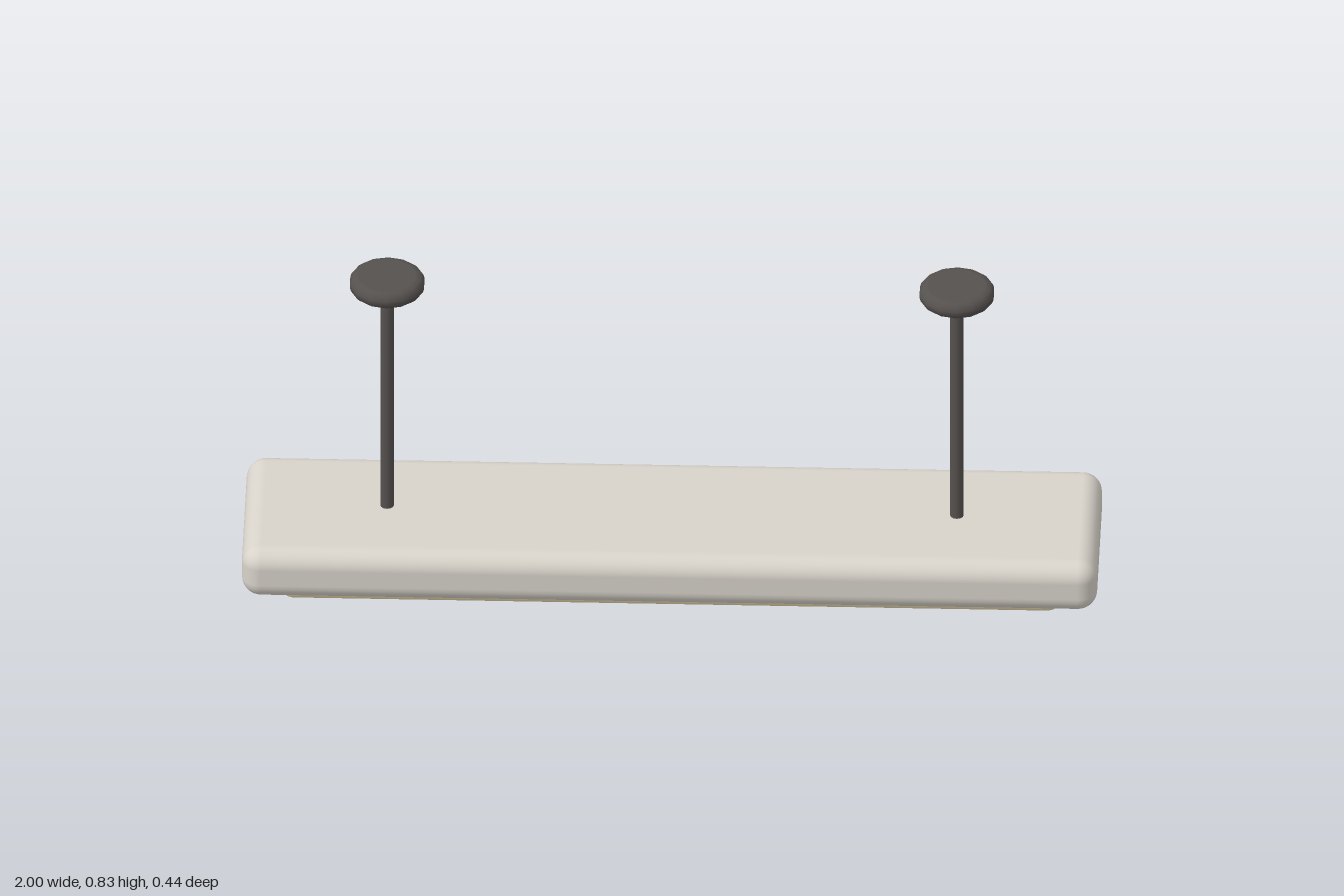
import * as THREE from 'three';
import { RoundedBoxGeometry } from 'three/addons/geometries/RoundedBoxGeometry.js';

const material = (color) => new THREE.MeshStandardMaterial({ color });

export function createModel() {
  const group = new THREE.Group();
  const shell = material(0xd8d3ca);
  const glow = material(0xf0e0b4);
  const metal = material(0x55514f);

  const add = (name, geometry, mat, x, y) => {
    const mesh = new THREE.Mesh(geometry, mat);
    mesh.name = name;
    mesh.position.set(x, y, 0);
    group.add(mesh);
  };

  // Long rounded lamp body with the light panel set below it
  add('housing', new RoundedBoxGeometry(2, 0.131, 0.444, 4, 0.045), shell, 0, 0.1245);
  add('lightPanel', new RoundedBoxGeometry(1.82, 0.075, 0.266, 2, 0.027), glow, 0, 0.0395);

  // Ceiling mount profile: a thin disc with a rounded rim, from bottom to top
  const R = 0.089, r = 0.019, h = 0.043;
  const profile = [new THREE.Vector2(0, 0), new THREE.Vector2(R - r - 0.002, 0)];
  for (const [base, start] of [[r, -Math.PI / 2], [h - r, 0]]) {
    for (let i = 0; i <= 3; i++) {
      const a = start + (i / 3) * (Math.PI / 2);
      profile.push(new THREE.Vector2(R - r + r * Math.cos(a), base + r * Math.sin(a)));
    }
  }
  profile.push(new THREE.Vector2(R - r - 0.002, h), new THREE.Vector2(0, h));
  const mount = new THREE.LatheGeometry(profile, 14);
  const rod = new THREE.CylinderGeometry(0.016, 0.016, 0.64, 12);

  // Two hanging rods with their mounts
  for (const [side, x] of [['left', 0.666], ['right', -0.666]]) {
    add(side + 'Rod', rod, metal, x, 0.48);
    add(side + 'CeilingMount', mount, metal, x, 0.791);
  }
  return group;
}
